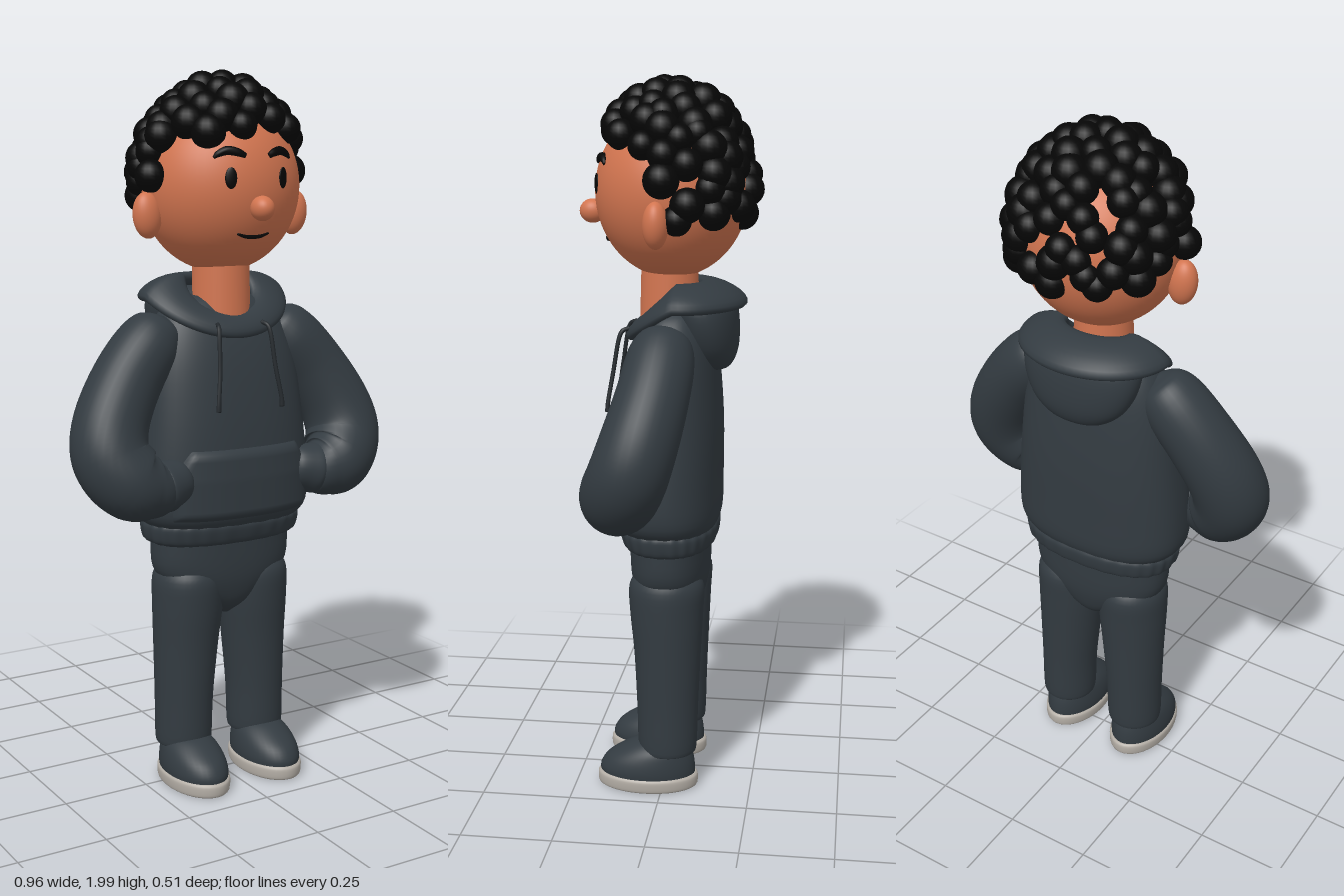
import * as THREE from 'three';

const mat = (name, color) => Object.assign(new THREE.MeshStandardMaterial({ color }), { name });
const V = (x, y, z) => new THREE.Vector3(x, y, z);
const curve = pts => new THREE.CatmullRomCurve3(pts, false, 'catmullrom', 0.5);

// Skin a series of rings (arrays of points) into a smooth closed surface
function loft(rings, loop = false) {
  const n = rings[0].length, m = rings.length, idx = [];
  const pts = rings.flat();
  for (let i = 0; i < (loop ? m : m - 1); i++) {
    for (let j = 0; j < n; j++) {
      const k = (j + 1) % n, i2 = (i + 1) % m;
      const a = i * n + j, c = i * n + k, b = i2 * n + j, d = i2 * n + k;
      idx.push(a, b, c, c, b, d);
    }
  }
  if (!loop) {
    const mid = r => r.reduce((s, p) => s.add(p), V(0, 0, 0)).divideScalar(n);
    const s = pts.length, e = s + 1, o = (m - 1) * n;
    pts.push(mid(rings[0]), mid(rings[m - 1]));
    for (let j = 0; j < n; j++) {
      const k = (j + 1) % n;
      idx.push(s, j, k, e, o + k, o + j);
    }
  }
  const g = new THREE.BufferGeometry().setFromPoints(pts);
  g.setIndex(idx);
  g.computeVertexNormals();
  return g;
}

// Horizontal sections [centreX, y, centreZ, radiusX, radiusZ], smoothed upwards
const signPow = (v, p) => Math.sign(v) * Math.pow(Math.abs(v), p);
function sections(list, { power = 2, n = 40, steps = 4, ripple = 0 } = {}) {
  const centre = curve(list.map(s => V(s[0], s[1], s[2])));
  const radii = curve(list.map(s => V(s[3], s[4], 0)));
  const rings = [], m = (list.length - 1) * steps;
  for (let i = 0; i <= m; i++) {
    const p = centre.getPoint(i / m), r = radii.getPoint(i / m);
    rings.push(Array.from({ length: n }, (_, j) => {
      const t = j / n * Math.PI * 2, f = 1 + ripple * Math.sin(t * 26);
      return V(p.x + r.x * f * signPow(Math.cos(t), 2 / power), p.y,
        p.z + r.y * f * signPow(Math.sin(t), 2 / power));
    }));
  }
  return loft(rings);
}

// Tube of varying radius through points [x, y, z, radius]
function sweep(list, n = 24, steps = 8) {
  const path = curve(list.map(p => V(p[0], p[1], p[2])));
  const rad = curve(list.map(p => V(p[3], 0, 0)));
  const rings = [], m = (list.length - 1) * steps;
  for (let i = 0; i <= m; i++) {
    const c = path.getPoint(i / m), r = rad.getPoint(i / m).x, T = path.getTangent(i / m);
    const N = T.clone().cross(V(0, 0, 1)).normalize(), B = T.clone().cross(N);
    rings.push(Array.from({ length: n }, (_, j) => {
      const t = j / n * Math.PI * 2;
      return c.clone().addScaledVector(N, r * Math.cos(t)).addScaledVector(B, -r * Math.sin(t));
    }));
  }
  return loft(rings);
}

export function createModel() {
  const model = new THREE.Group();
  const skin = mat('skin', 0xd27550), cloth = mat('charcoal cloth', 0x333b41);
  const black = mat('black hair', 0x060606), cord = mat('dark cord', 0x23282c);
  const soleMat = mat('pale sole', 0xb4aea6);
  const add = (name, geo, m) => {
    const mesh = new THREE.Mesh(geo, m);
    mesh.name = name;
    model.add(mesh);
    return mesh;
  };
  const ball = (name, m, p, s, w = 32, h = 24) => {
    const mesh = add(name, new THREE.SphereGeometry(1, w, h), m);
    mesh.position.set(...p);
    mesh.scale.set(...s);
    return mesh;
  };

  // Head, neck and face
  const H = { y: 1.685, z: -0.01, rx: 0.222, ry: 0.233, rz: 0.209 };
  const faceZ = (x, y) => H.z + H.rz * Math.sqrt(1 - (x / H.rx) ** 2 - ((y - H.y) / H.ry) ** 2);
  ball('head', skin, [0, H.y, H.z], [H.rx, H.ry, H.rz], 64, 48);
  add('neck', new THREE.CylinderGeometry(0.077, 0.084, 0.26, 32), skin).position.set(0, 1.4, -0.003);
  ball('nose', skin, [0, 1.63, 0.21], [0.031, 0.033, 0.036]);
  const onFace = pts => pts.map(([x, y, r]) => [x, y, faceZ(x, y) + 0.001, r]);
  add('mouth', sweep(onFace([[-0.048, 1.563, 0.003], [-0.025, 1.556, 0.005], [0, 1.554, 0.0055],
    [0.025, 1.556, 0.005], [0.048, 1.563, 0.003]]), 10), black);
  for (const s of [-1, 1]) {
    const ear = ball('ear', skin, [s * 0.232, 1.61, 0.005], [0.04, 0.062, 0.034]);
    ear.rotation.z = -s * 0.1;
    const eye = ball('eye', black, [s * 0.08, 1.708, faceZ(0.08, 1.708)], [0.016, 0.028, 0.005]);
    eye.rotation.y = s * 0.38;
    add('eyebrow', sweep(onFace([[0.036, 1.765, 0.007], [0.056, 1.774, 0.011], [0.082, 1.778, 0.012],
      [0.104, 1.77, 0.009], [0.116, 1.76, 0.004]].map(([x, y, r]) => [s * x, y, r])), 12), black);
  }

  // Curly hair: balls spread over the scalp above a sloping hairline, looser at the crown and back
  let seed = 7;
  const rnd = () => (seed = (seed * 16807) % 2147483647) / 2147483647;
  const curls = new THREE.Group();
  curls.name = 'curlyHair';
  model.add(curls);
  const curlGeo = new THREE.SphereGeometry(1, 18, 14), count = 172;
  for (let i = 0; i < count; i++) {
    const h = 1 - 2 * (i + 0.5) / count, w = Math.sqrt(1 - h * h);
    const base = i * 2.39996, loose = Math.cos(base) * w < 0.4 ? 0.4 : 0.12;
    const a = base + (rnd() - 0.5) * loose, k = 0.98 + rnd() * 0.04;
    const x = 0.226 * k * w * Math.sin(a), y = 1.69 + 0.258 * k * h, z = -0.01 + 0.203 * k * w * Math.cos(a);
    const line = z > -0.045 ? 1.7 + Math.max(0, z - 0.02) * 1.08 : 1.62;
    const r = 0.039 + rnd() * 0.009;
    if (y < line) continue;
    const curl = new THREE.Mesh(curlGeo, black);
    curl.name = 'curl';
    curl.position.set(x, y, z);
    curl.scale.setScalar(r);
    curls.add(curl);
  }

  // Hoodie body and ribbed hem
  const body = [[0, 0.755, -0.005, 0.225, 0.13], [0, 0.8, 0, 0.258, 0.15], [0, 0.9, 0, 0.26, 0.152],
    [0, 1.05, -0.005, 0.247, 0.147], [0, 1.2, -0.012, 0.228, 0.13], [0, 1.3, -0.02, 0.2, 0.108],
    [0, 1.36, -0.025, 0.16, 0.08], [0, 1.39, -0.025, 0.09, 0.055]];
  add('hoodieBody', sections(body, { power: 2.4, n: 56 }), cloth);
  add('hoodieHem', sections([[0, 0.708, -0.008, 0.215, 0.118], [0, 0.72, -0.008, 0.231, 0.13],
    [0, 0.755, -0.006, 0.238, 0.138], [0, 0.772, -0.005, 0.232, 0.133]],
  { power: 2.4, n: 156, ripple: 0.008 }), cloth);

  // Front pocket, a puffed patch following the belly
  const bodyZ = (x, y) => {
    const i = Math.max(0, body.findIndex(b => b[1] > y) - 1), p = body[i], q = body[i + 1];
    const mix = k => p[k] + (q[k] - p[k]) * (y - p[1]) / (q[1] - p[1]);
    return mix(2) + mix(4) * Math.pow(Math.max(0, 1 - Math.pow(Math.abs(x) / mix(3), 2.4)), 1 / 2.4);
  };
  const pocket = new THREE.PlaneGeometry(2, 1, 48, 24), pp = pocket.attributes.position;
  for (let i = 0; i < pp.count; i++) {
    const u = pp.getX(i), v = pp.getY(i) + 0.5;
    const half = v < 0.6 ? 0.215 + v * 0.02 : 0.227 - (v - 0.6) * 0.15;
    const x = u * half, y = 0.78 + v * 0.208;
    const edge = Math.min((1 - Math.abs(u)) * 10, v * 8, (1 - v) * 8, 1);
    pp.setXYZ(i, x, y, bodyZ(x, y) - 0.008 + 0.024 * Math.sqrt(edge));
  }
  pocket.computeVertexNormals();
  add('frontPocket', pocket, cloth);

  // Folded hood: a collar ring dipping at the front and a sack behind
  const collar = [];
  for (let i = 0; i < 64; i++) {
    const a = i / 64 * Math.PI * 2, f = Math.max(0, Math.cos(a));
    const out = V(Math.sin(a), 0, Math.cos(a)), up = V(0, 1, 0);
    const c = V(0.158 * Math.sin(a), 1.41 - 0.1 * Math.pow(f, 1.1), -0.035 + 0.117 * Math.cos(a));
    const long = 0.07 * (1 - 0.42 * f), thick = 0.027 * (1 - 0.2 * f);
    const co = Math.cos(0.4 + 0.35 * f), si = Math.sin(0.4 + 0.35 * f);
    collar.push(Array.from({ length: 20 }, (_, j) => {
      const t = j / 20 * Math.PI * 2, d = long * Math.cos(t), e = thick * Math.sin(t);
      return c.clone().addScaledVector(out, d * co + e * si).addScaledVector(up, e * co - d * si);
    }));
  }
  add('hoodCollar', loft(collar, true), cloth);
  add('hoodSack', sections([[0, 1.2, -0.125, 0.03, 0.02], [0, 1.215, -0.125, 0.09, 0.05],
    [0, 1.26, -0.12, 0.142, 0.073], [0, 1.33, -0.11, 0.172, 0.085], [0, 1.39, -0.1, 0.17, 0.085],
    [0, 1.41, -0.1, 0.12, 0.06]], { power: 2.2 }), cloth);

  for (const s of [-1, 1]) {
    const side = list => list.map(([x, ...rest]) => [s * x, ...rest]);

    // Bent sleeve, cuff and drawstring
    add('sleeve', sweep(side([[0.165, 1.325, -0.012, 0.02], [0.183, 1.305, -0.01, 0.066],
      [0.225, 1.262, -0.008, 0.09], [0.3, 1.17, 0.005, 0.097], [0.362, 1.06, 0.032, 0.103],
      [0.374, 0.975, 0.06, 0.106], [0.33, 0.912, 0.09, 0.104], [0.275, 0.893, 0.1, 0.085],
      [0.235, 0.893, 0.1, 0.066]]), 32), cloth);
    add('cuff', sweep(side([[0.252, 0.891, 0.1, 0.058], [0.243, 0.892, 0.1, 0.072],
      [0.215, 0.898, 0.097, 0.066], [0.185, 0.903, 0.09, 0.056], [0.168, 0.905, 0.085, 0.03]]), 28), cloth);
    add('drawstring', sweep(side([[0.07, 1.32, 0.098, 0.006], [0.08, 1.3, 0.124, 0.006],
      [0.088, 1.2, 0.142, 0.006], [0.099, 1.12, 0.155, 0.006], [0.101, 1.09, 0.157, 0.007]]), 10), cord);

    // Trouser leg
    add('trouserLeg', sections(side([[0.12, 0.11, -0.012, 0.07, 0.073], [0.12, 0.125, -0.012, 0.08, 0.083],
      [0.118, 0.25, -0.012, 0.083, 0.087], [0.112, 0.4, -0.011, 0.092, 0.094],
      [0.107, 0.52, -0.008, 0.1, 0.103], [0.107, 0.6, -0.008, 0.098, 0.105],
      [0.107, 0.64, -0.008, 0.075, 0.08]])), cloth);

    // Shoe upper and flat sole
    add('shoeUpper', sections(side([[0.12, 0.035, 0.045, 0.082, 0.136], [0.12, 0.06, 0.045, 0.084, 0.136],
      [0.12, 0.09, 0.037, 0.08, 0.124], [0.12, 0.118, 0.02, 0.07, 0.098],
      [0.12, 0.138, 0.005, 0.05, 0.07], [0.12, 0.144, 0, 0.02, 0.03]])), cloth);
    add('shoeSole', sections(side([[0.12, 0.003, 0.045, 0.08, 0.134], [0.12, 0.01, 0.045, 0.086, 0.143],
      [0.12, 0.035, 0.045, 0.088, 0.144], [0.12, 0.044, 0.045, 0.082, 0.137]])), soleMat);
  }

  // Trouser seat joining the legs
  add('trouserSeat', sections([[0, 0.485, -0.008, 0.015, 0.04], [0, 0.52, -0.008, 0.07, 0.08],
    [0, 0.57, -0.008, 0.155, 0.1], [0, 0.63, -0.008, 0.206, 0.11], [0, 0.73, -0.008, 0.212, 0.113]],
  { power: 2.3 }), cloth);

  return model;
}
